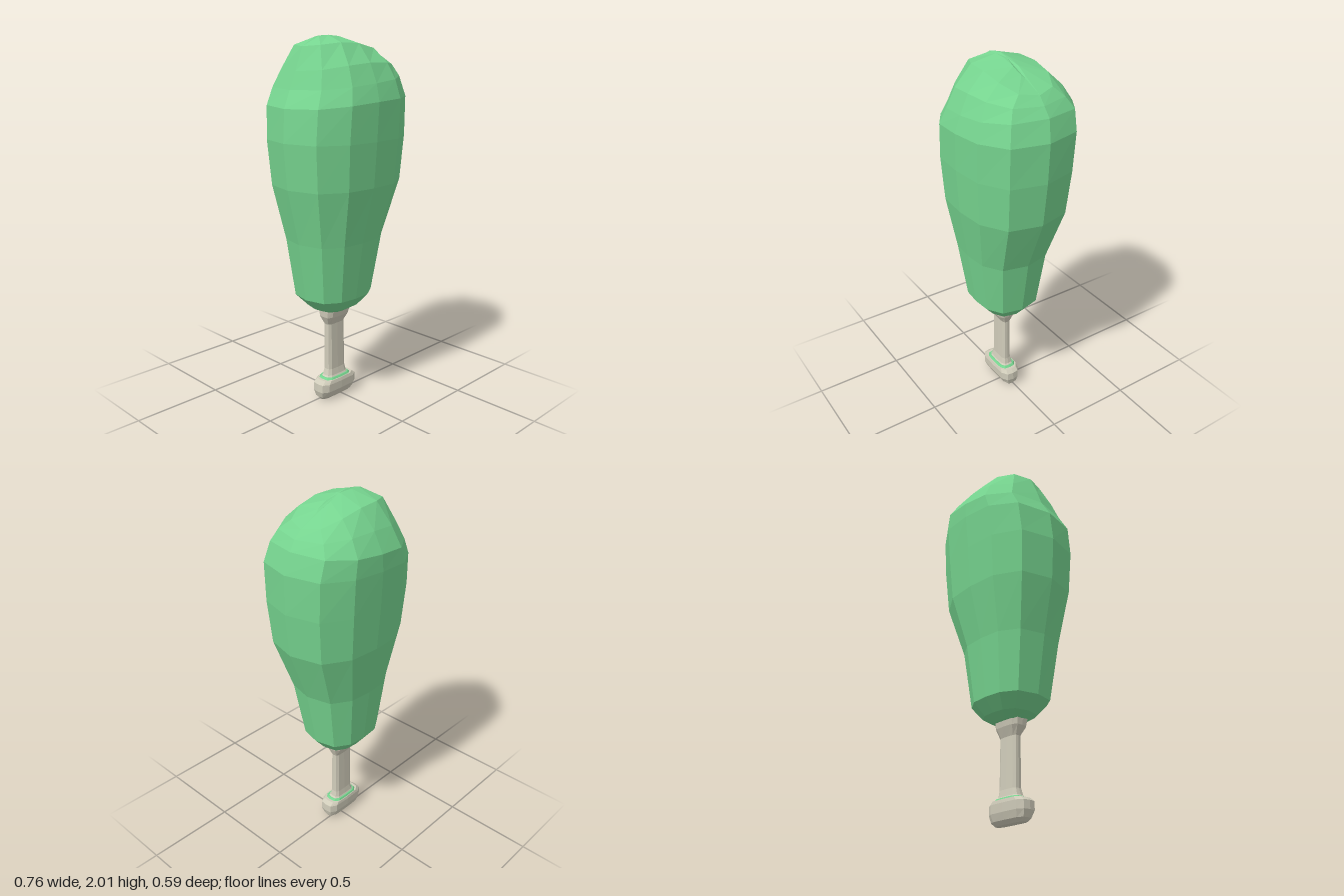
import * as THREE from 'three';

// Unit outlines in x/z, listed from +x towards +z
const mirror = (quarter) => {
  const half = [...quarter, ...quarter.slice(0, -1).reverse().map(([x, z]) => [-x, z])];
  return [...half, ...half.slice(1, -1).reverse().map(([x, z]) => [x, -z])];
};
const ROUND = mirror([[1, 0], [0.87, 0.65], [0.48, 0.95], [0, 1]]);
const BOXY = mirror([[1, 0], [0.96, 0.6], [0.7, 0.95], [0, 1]]);

// Rings from bottom to top: [yLeft, yMid, yRight, xMin, xMax, zMin, zMax],
// where the y values follow x from xMin to xMax
function loft(name, outline, rings, material) {
  const n = outline.length, pos = [], index = [];
  for (const [ya, yb, yc, x0, x1, z0, z1] of rings) {
    for (const [u, v] of outline) {
      const y = yb + u * (yc - ya) / 2 + u * u * ((ya + yc) / 2 - yb);
      pos.push((x0 + x1) / 2 + u * (x1 - x0) / 2, y, (z0 + z1) / 2 + v * (z1 - z0) / 2);
    }
  }
  for (let i = 0; i < rings.length - 1; i++) {
    for (let j = 0; j < n; j++) {
      const k = (j + 1) % n, a = i * n + j, b = i * n + k;
      index.push(a, a + n, b, b, a + n, b + n);
    }
  }
  // Caps
  const last = (rings.length - 1) * n;
  for (const [r, base] of [[rings[0], 0], [rings[rings.length - 1], last]]) {
    const c = pos.length / 3;
    pos.push((r[3] + r[4]) / 2, r[1], (r[5] + r[6]) / 2);
    for (let j = 0; j < n; j++) {
      const a = base + j, b = base + (j + 1) % n;
      if (base) index.push(c, b, a);
      else index.push(c, a, b);
    }
  }
  const indexed = new THREE.BufferGeometry();
  indexed.setAttribute('position', new THREE.Float32BufferAttribute(pos, 3));
  indexed.setIndex(index);
  const geometry = indexed.toNonIndexed();
  geometry.computeVertexNormals();
  const mesh = new THREE.Mesh(geometry, material);
  mesh.name = name;
  return mesh;
}

const level = (y, ...extents) => [y, y, y, ...extents];

export function createModel() {
  const green = new THREE.MeshStandardMaterial({ color: 0x76d48f, flatShading: true });
  const bone = new THREE.MeshStandardMaterial({ color: 0xd0ccba, flatShading: true });
  const group = new THREE.Group();
  group.name = 'drumstick';

  // Meat: swelling body, lopsided crown ending in a narrow ridge
  group.add(loft('meat', ROUND, [
    level(0.52, -0.11, 0.07, -0.06, 0.07),
    level(0.55, -0.17, 0.12, -0.11, 0.12),
    level(0.62, -0.24, 0.18, -0.165, 0.18),
    level(0.94, -0.29, 0.235, -0.2, 0.225),
    level(1.24, -0.36, 0.35, -0.26, 0.28),
    level(1.48, -0.38, 0.375, -0.28, 0.295),
    [1.65, 1.68, 1.69, -0.365, 0.378, -0.295, 0.298],
    [1.74, 1.77, 1.8, -0.315, 0.345, -0.295, 0.27],
    [1.83, 1.87, 1.85, -0.28, 0.31, -0.24, 0.225],
    [1.95, 1.965, 1.89, -0.23, 0.27, -0.16, 0.14],
    [1.995, 2.0, 1.94, -0.15, 0.16, -0.02, 0.01],
  ], green));

  // Bone shaft, flared at both ends
  group.add(loft('boneShaft', BOXY, [
    level(0.1, -0.13, 0.075, -0.04, 0.065),
    level(0.135, -0.1, 0.045, -0.025, 0.045),
    level(0.17, -0.09, 0.038, -0.02, 0.038),
    level(0.44, -0.09, 0.035, -0.016, 0.034),
    level(0.49, -0.115, 0.055, -0.038, 0.062),
    level(0.54, -0.12, 0.065, -0.046, 0.075),
  ], bone));

  // Thin coloured rim between shaft and knob
  group.add(loft('rim', BOXY, [
    level(0.114, -0.125, 0.07, -0.043, 0.066),
    level(0.127, -0.112, 0.057, -0.036, 0.056),
  ], green));

  // Wide knob at the foot of the bone
  group.add(loft('boneKnob', BOXY, [
    level(0, -0.135, 0.08, -0.012, 0.036),
    level(0.018, -0.152, 0.095, -0.033, 0.054),
    level(0.055, -0.164, 0.106, -0.045, 0.072),
    level(0.1, -0.162, 0.104, -0.047, 0.073),
    level(0.118, -0.138, 0.082, -0.044, 0.068),
  ], bone));

  return group;
}
